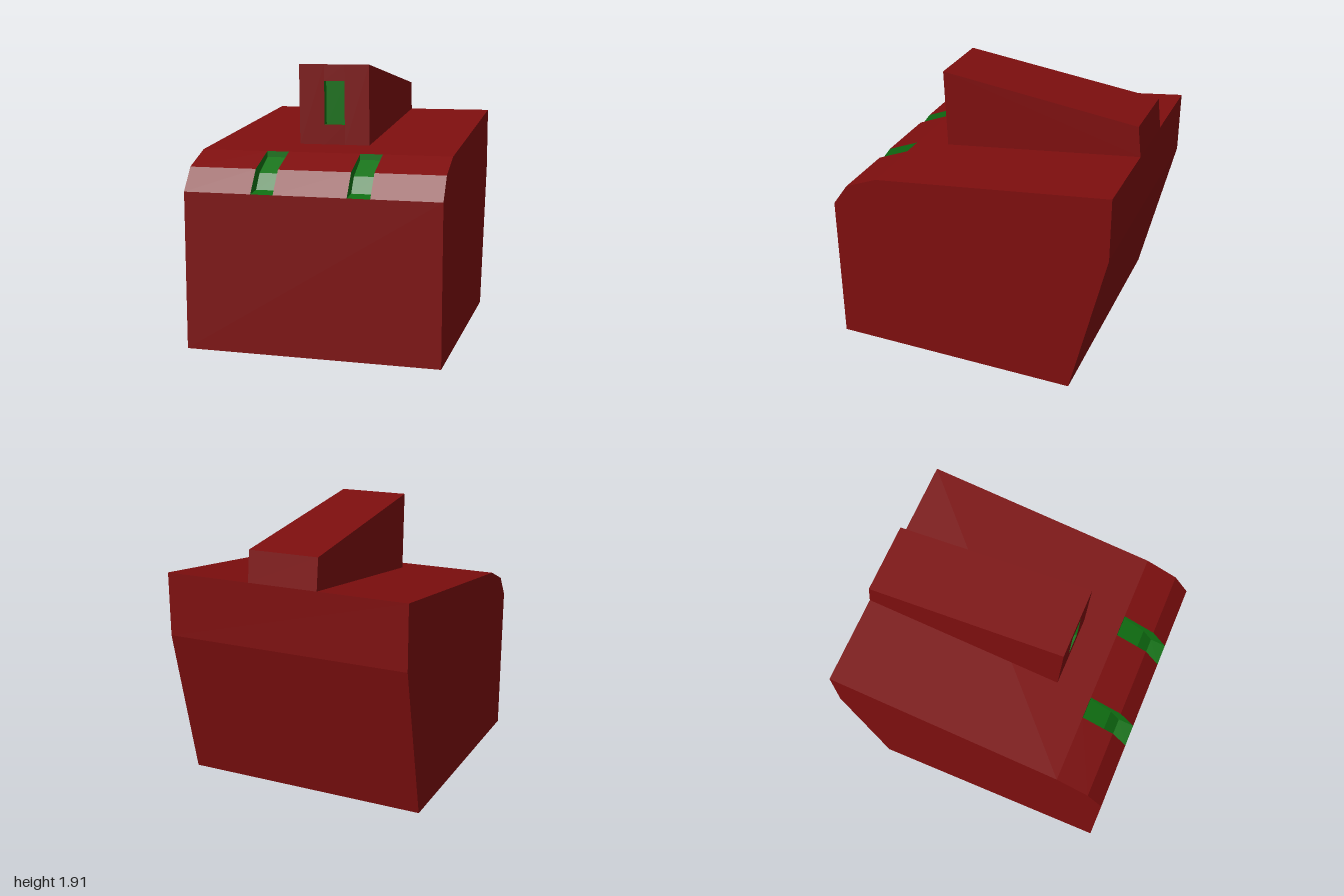
import * as THREE from 'three';
import { mergeGeometries } from 'three/addons/utils/BufferGeometryUtils.js';

const red = new THREE.MeshStandardMaterial({ color: 0x7d0e0e, flatShading: true });
const green = new THREE.MeshStandardMaterial({ color: 0x0f7012, flatShading: true });

// Strip of quads swept along x from x0 to x1 over a list of [z, y] points
function ribbon(points, x0, x1) {
  const pos = [];
  for (let i = 0; i < points.length - 1; i++) {
    const [za, ya] = points[i], [zb, yb] = points[i + 1];
    pos.push(x0, ya, za, x1, ya, za, x1, yb, zb, x0, ya, za, x1, yb, zb, x0, yb, zb);
  }
  const g = new THREE.BufferGeometry();
  g.setAttribute('position', new THREE.Float32BufferAttribute(pos, 3));
  g.computeVertexNormals();
  return g;
}

// Flat [z, y] polygon standing at x, facing +x (dir 1) or -x (dir -1)
function cap(points, x, dir) {
  const shape = new THREE.Shape(points.map(([z, y]) => new THREE.Vector2(-dir * z, y)));
  const g = new THREE.ShapeGeometry(shape).toNonIndexed();
  g.deleteAttribute('uv');
  return g.rotateY(dir * Math.PI / 2).translate(x, 0, 0);
}

function part(name, material, geometries) {
  const mesh = new THREE.Mesh(mergeGeometries(geometries), material);
  mesh.name = name;
  return mesh;
}

// Recess: floor strip with inward-facing side walls reaching up to the outer surface
function recess(name, floor, outer, x0, x1) {
  const wall = [...floor, ...outer];
  return part(name, green, [ribbon(floor, x0, x1), cap(wall, x0, 1), cap(wall, x1, -1)]);
}

export function createModel() {
  const model = new THREE.Group();
  const W = 0.875, T = 0.25;      // half widths of hull and cabin
  const S0 = 0.25, S1 = 0.405;    // inner and outer edge of the slots

  // Hull: brow is the bevelled strip that the slots cut through
  const brow = [[1, 1.08], [0.89, 1.235], [0.66, 1.33]];
  const rear = [[-1, 1.525], [-1, 1.08], [-0.755, 0]];
  const outline = [[1, 0], ...brow, ...rear];
  model.add(part('hull', red, [
    ribbon([[1, 0], brow[0]], -W, W),
    ribbon([brow[2], ...rear, [1, 0]], -W, W),
    ...[[-W, -S1], [-S0, S0], [S1, W]].map(([a, b]) => ribbon(brow, a, b)),
    cap(outline, W, 1),
    cap(outline, -W, -1),
  ]));

  // Pair of slots in the brow
  const slotFloor = [brow[0], [0.89, 1.095], [0.82, 1.2], [0.66, 1.29], brow[2]];
  model.add(recess('leftSlot', slotFloor, [brow[1]], S0, S1));
  model.add(recess('rightSlot', slotFloor, [brow[1]], -S1, -S0));

  // Cabin: wedge on top, its front face left open around the window
  const foot = [0.41, 1.36], crown = [0.43, 1.915], tail = [-0.975, 1.74], heel = [-1, 1.525];
  const front = y => [foot[0] + (y - foot[1]) / (crown[1] - foot[1]) * (crown[0] - foot[0]), y];
  const low = front(1.5), high = front(1.8), w0 = -0.07, w1 = 0.075;
  const side = [foot, crown, tail, heel];
  model.add(part('cabin', red, [
    ribbon([foot, crown], -T, w0),
    ribbon([foot, crown], w1, T),
    ribbon([foot, low], w0, w1),
    ribbon([high, crown], w0, w1),
    ribbon([crown, tail, heel], -T, T),
    cap(side, T, 1),
    cap(side, -T, -1),
  ]));

  // Window recess in the cabin front
  const back = ([z, y]) => [z - 0.05, y];
  model.add(recess('cabinWindow', [low, back(low), back(high), high], [], w0, w1));

  return model;
}
